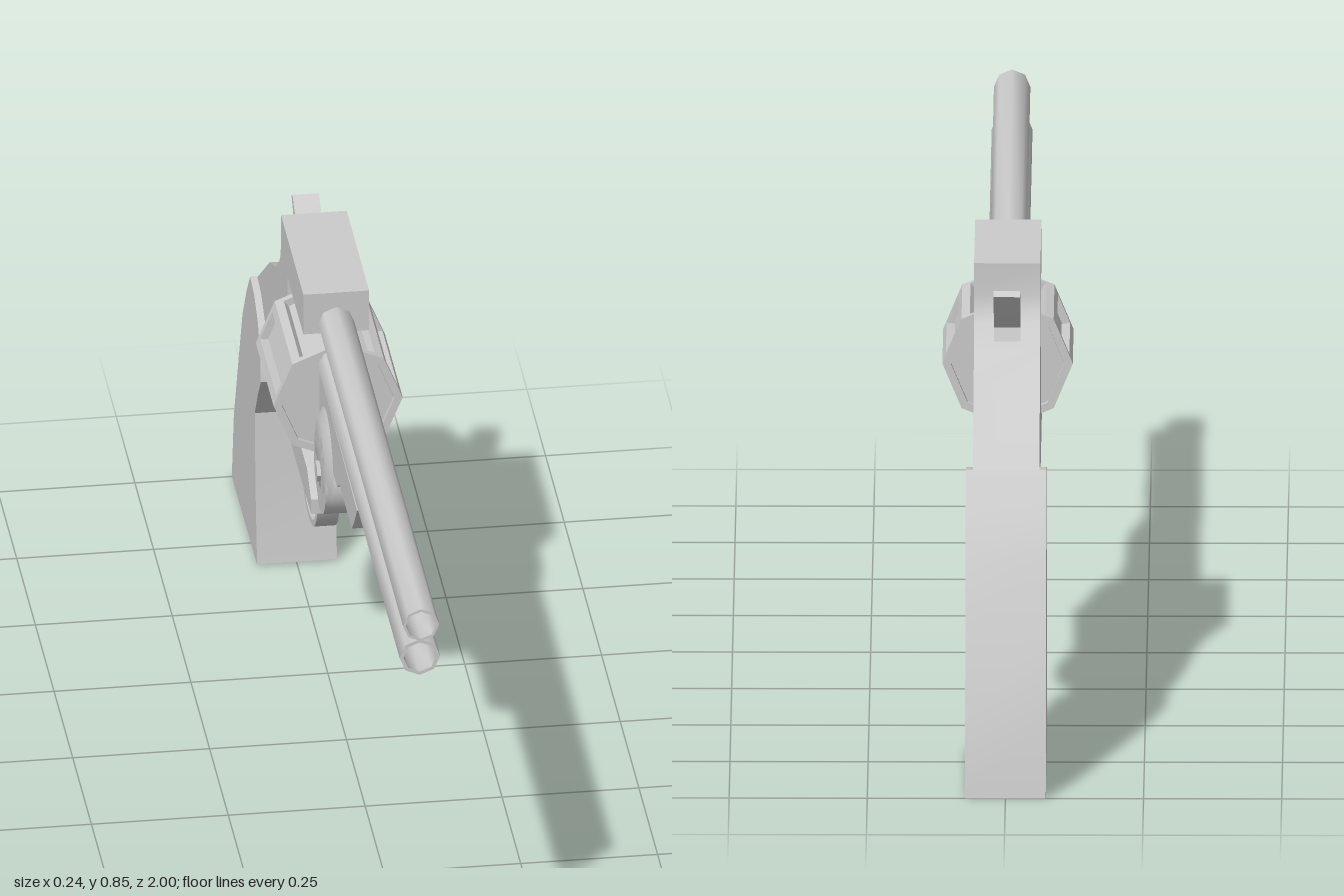
import * as THREE from 'three';
import { toCreasedNormals } from 'three/addons/utils/BufferGeometryUtils.js';

const metal = new THREE.MeshStandardMaterial({ color: 0xcccccc });
const vec = ([a, b]) => new THREE.Vector2(a, b);

function add(parent, name, geometry, crease = 0.6) {
  const mesh = new THREE.Mesh(toCreasedNormals(geometry, crease), metal);
  mesh.name = name;
  parent.add(mesh);
  return mesh;
}

// Side profile given as [z, y] points, extruded across x to a half width
function sideSlab(points, half) {
  const geo = new THREE.ExtrudeGeometry(new THREE.Shape(points.map(vec)), {
    depth: half * 2, bevelEnabled: false,
  });
  return geo.translate(0, 0, -half).rotateY(-Math.PI / 2);
}

// Curved strip through [z, y] points, thickness running from t0 to t1
function strip(points, t0, t1, half, segments) {
  const curve = new THREE.SplineCurve(points.map(vec));
  const a = [], b = [];
  for (let i = 0; i <= segments; i++) {
    const u = i / segments;
    const p = curve.getPoint(u), d = curve.getTangent(u);
    const t = THREE.MathUtils.lerp(t0, t1, u) / 2;
    a.push([p.x - d.y * t, p.y + d.x * t]);
    b.unshift([p.x + d.y * t, p.y - d.x * t]);
  }
  return sideSlab([...a, ...b], half);
}

// Eight-sided tube along z with a bored muzzle
function barrel(r, bore, y, z0, z1) {
  const profile = [[0, z0], [r, z0], [r, z1], [bore, z1], [bore, z1 - 0.12], [0, z1 - 0.12]];
  return new THREE.LatheGeometry(profile.map(vec), 8).rotateX(Math.PI / 2).translate(0, y, 0);
}

function octagon(r) {
  return Array.from({ length: 8 }, (_, i) =>
    new THREE.Vector2(r * Math.cos(i * Math.PI / 4), r * Math.sin(i * Math.PI / 4)));
}

// Cylinder with a recessed panel in each of its eight faces
function createDrum() {
  const drum = new THREE.Group();
  drum.name = 'drum';
  drum.position.set(0, 0.638, -0.35);
  const R = 0.118, length = 0.238, rim = 0.013;
  const along = (shape, depth, z) =>
    new THREE.ExtrudeGeometry(shape, { depth, bevelEnabled: false }).translate(0, 0, z);
  add(drum, 'drumCore', along(new THREE.Shape(octagon(0.102)), length - 0.012, 0.006), 0.2);
  [0, length - rim].forEach((z) => {
    const ring = new THREE.Shape(octagon(R));
    ring.holes.push(new THREE.Path(octagon(0.103)));
    add(drum, 'drumRim', along(ring, rim, z), 0.2);
  });
  // Corner ribs between the panels
  const corners = octagon(R);
  for (let i = 0; i < 8; i++) {
    const c = corners[i];
    const before = c.clone().lerp(corners[(i + 7) % 8], 0.18);
    const after = c.clone().lerp(corners[(i + 1) % 8], 0.18);
    const rib = new THREE.Shape([
      c, after, after.clone().multiplyScalar(0.8), before.clone().multiplyScalar(0.8), before,
    ]);
    add(drum, 'drumRib', along(rib, length - 2 * rim, rim), 0.2);
  }
  return drum;
}

export function createModel() {
  const model = new THREE.Group();
  model.name = 'revolver';

  // Barrel with the second tube beneath it
  add(model, 'upperBarrel', barrel(0.033, 0.028, 0.787, -0.15, 1), 0.9);
  add(model, 'lowerBarrel', barrel(0.037, 0.03, 0.712, -0.12, 0.983), 0.9);

  // Frame with the open window for the drum
  add(model, 'frame', sideSlab([
    [-0.137, 0.85], [-0.437, 0.85], [-0.437, 0.79], [-0.443, 0.765], [-0.458, 0.743],
    [-0.507, 0.705], [-0.59, 0.668], [-0.755, 0.546], [-0.72, 0.45], [-0.615, 0.408],
    [-0.585, 0.43], [-0.555, 0.442], [-0.48, 0.45], [-0.035, 0.452], [-0.035, 0.482],
    [-0.088, 0.517], [-0.35, 0.517], [-0.35, 0.768], [-0.137, 0.768],
  ], 0.06));

  model.add(createDrum());

  // Stepped lug under the barrel, running back to the hinge
  add(model, 'barrelLug', sideSlab([
    [0.405, 0.7], [0.37, 0.658], [0.335, 0.624], [0.17, 0.624], [0.14, 0.603],
    [0.07, 0.6], [0.045, 0.56], [-0.06, 0.5], [-0.1, 0.53], [-0.1, 0.71],
  ], 0.036));

  // Hinge disc, its sloped shoulder and the pin
  const hinge = new THREE.Group();
  hinge.name = 'hinge';
  hinge.position.set(0, 0.553, -0.013);
  model.add(hinge);
  const disc = (r, half, sides) =>
    new THREE.CylinderGeometry(r, r, half * 2, sides).rotateZ(Math.PI / 2);
  add(hinge, 'hingeDisc', disc(0.079, 0.047, 24));
  add(hinge, 'hingePin', disc(0.019, 0.054, 6));
  for (const side of [-1, 1]) {
    const shoulder = new THREE.CylinderGeometry(0.07, 0.092, 0.012, 24)
      .rotateZ(-side * Math.PI / 2).translate(side * 0.041, 0.035, 0.008);
    add(hinge, 'hingeShoulder', shoulder);
  }

  // Grip
  add(model, 'grip', sideSlab([
    [-0.755, 0.549], [-0.805, 0.49], [-0.857, 0.415], [-0.915, 0.28], [-0.973, 0.142],
    [-1, 0], [-0.662, 0.004], [-0.682, 0.142], [-0.693, 0.3], [-0.652, 0.36],
    [-0.613, 0.408], [-0.619, 0.458], [-0.65, 0.51], [-0.7, 0.54],
  ], 0.073));

  // Hammer with its thumb spur
  add(model, 'hammer', sideSlab([
    [-0.45, 0.7], [-0.46, 0.755], [-0.49, 0.792], [-0.548, 0.828], [-0.56, 0.82],
    [-0.52, 0.776], [-0.482, 0.742], [-0.5, 0.69],
  ], 0.024));

  // Trigger guard and the web behind it
  add(model, 'triggerGuard', strip([
    [-0.232, 0.46], [-0.232, 0.39], [-0.253, 0.33], [-0.295, 0.287], [-0.352, 0.272],
    [-0.413, 0.284], [-0.458, 0.325], [-0.47, 0.38], [-0.452, 0.42], [-0.435, 0.46],
  ], 0.012, 0.012, 0.02, 24));
  add(model, 'guardWeb', sideSlab([
    [-0.43, 0.455], [-0.452, 0.415], [-0.475, 0.405], [-0.5, 0.43], [-0.54, 0.447], [-0.54, 0.46],
  ], 0.02));
  add(model, 'guardFrontWeb', sideSlab([
    [-0.215, 0.46], [-0.228, 0.425], [-0.24, 0.425], [-0.25, 0.46],
  ], 0.02));

  // Trigger
  add(model, 'trigger', strip([
    [-0.355, 0.465], [-0.376, 0.42], [-0.371, 0.37], [-0.345, 0.337], [-0.305, 0.325],
  ], 0.036, 0.009, 0.013, 10));

  return model;
}
